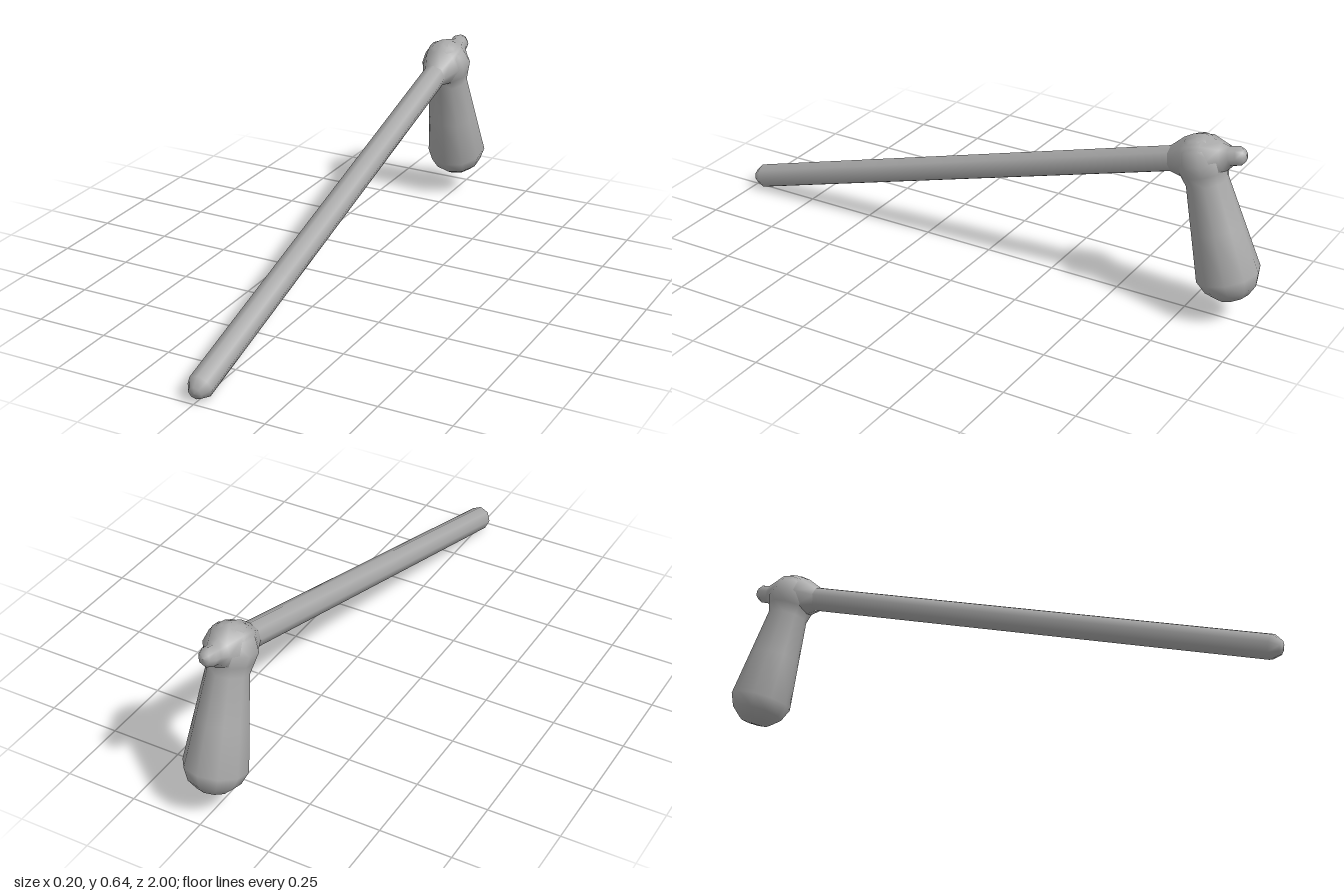
import * as THREE from 'three';

const TILT = 0.286; // lean of the whole tool about x

// Turned solid from [radius, distance] pairs, pointing along +y before rotation
function turned(name, profile, sides, origin, rotX, material) {
  const points = profile.map(([r, d]) => new THREE.Vector2(r, d));
  const mesh = new THREE.Mesh(new THREE.LatheGeometry(points, sides), material);
  mesh.name = name;
  mesh.position.set(...origin);
  mesh.rotation.x = rotX;
  return mesh;
}

export function createModel() {
  const group = new THREE.Group();
  group.name = 'crankTool';
  const grey = new THREE.MeshStandardMaterial({ color: 0xaaaaaa });
  grey.name = 'plain grey';

  // Long round shaft with a blunt tip, running up and back
  group.add(turned('shaft', [
    [0, -0.047], [0.024, -0.042], [0.044, -0.01], [0.044, 0.5],
    [0.044, 1.1], [0.044, 1.74],
  ], 8, [0, 0.05, 0.95], TILT - Math.PI / 2, grey));

  // Collar swelling at the top of the shaft, ending in a small rear knob
  group.add(turned('hubAndKnob', [
    [0.043, 1.70], [0.073, 1.762], [0.082, 1.80], [0.079, 1.836],
    [0.047, 1.887], [0.033, 1.91], [0.033, 1.937], [0.02, 1.957], [0, 1.963],
  ], 8, [0, 0.048, 0.95], TILT - Math.PI / 2, grey));

  // Grip hanging from the hub, widest near its rounded bottom
  group.add(turned('grip', [
    [0, -0.084], [0.055, -0.075], [0.088, -0.045], [0.107, 0],
    [0.088, 0.165], [0.07, 0.324], [0.079, 0.36], [0.089, 0.40],
    [0.072, 0.444], [0.04, 0.474], [0, 0.482],
  ], 10, [0, 0.17, -0.897], TILT, grey));

  return group;
}
